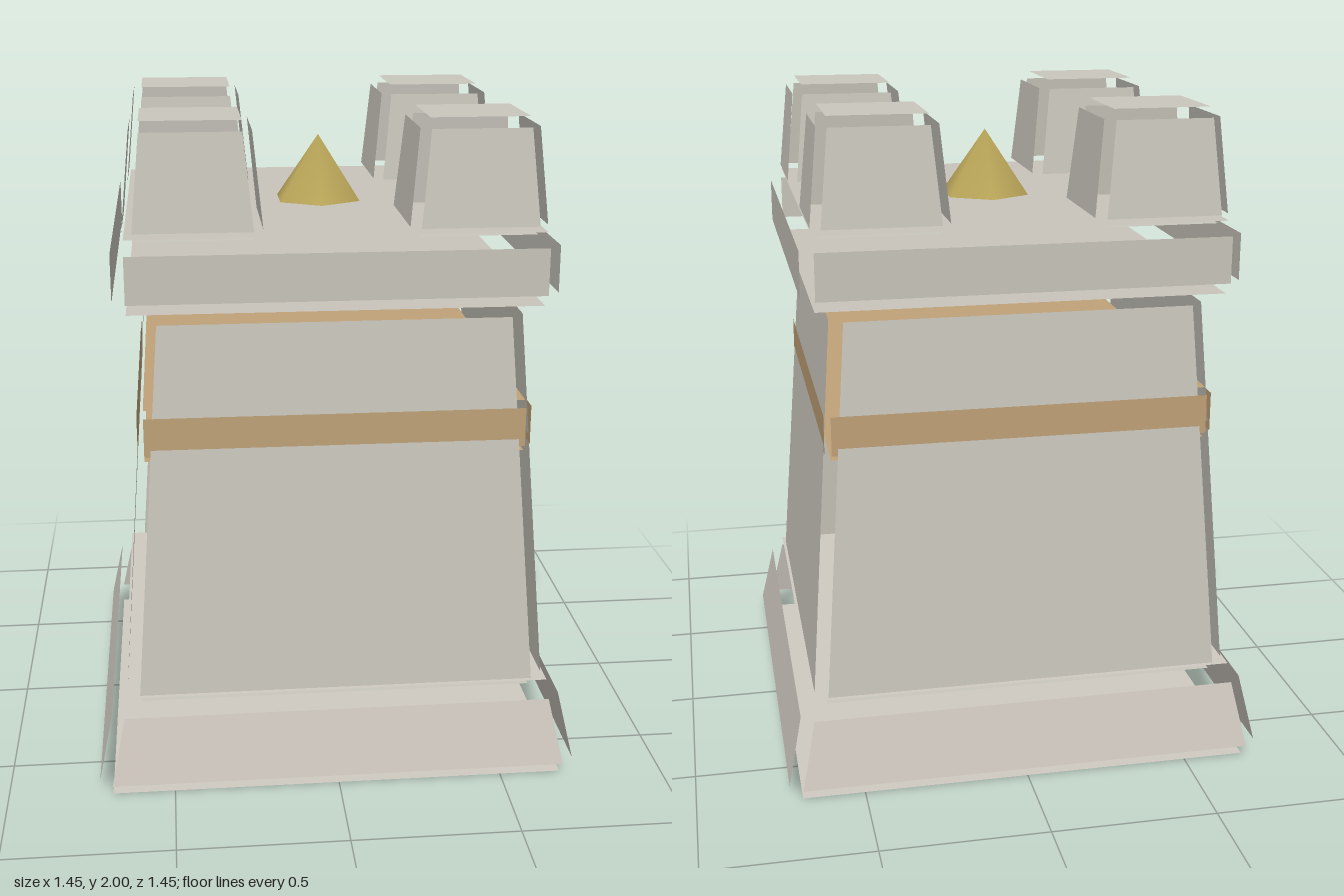
import * as THREE from 'three';
import { mergeVertices } from 'three/addons/utils/BufferGeometryUtils.js';

// Thin open panels, so every material shows both faces
const mat = (name, color) => {
  const m = new THREE.MeshStandardMaterial({ color, side: THREE.DoubleSide });
  m.name = name;
  return m;
};

// Tapered block made of six separate panels, with an open gap of width `gap` along every edge.
// y0/y1: bottom and top caps; w0/w1: distance of the side panels from the axis at their lower/upper edge.
function panelBlock(y0, y1, w0, w1, gap, gapY = gap) {
  const pos = [];
  const quad = (a, b, c, d) => [a, b, c, a, c, d].forEach((v) => pos.push(v.x, v.y, v.z));
  const v = (x, y, z) => new THREE.Vector3(x, y, z);
  const up = v(0, 1, 0);
  const p0 = w0 - gap, p1 = w1 - gap;
  const lo = y0 + gapY, hi = y1 - gapY;
  for (let k = 0; k < 4; k++) {
    const side = [v(-p0, lo, w0), v(p0, lo, w0), v(p1, hi, w1), v(-p1, hi, w1)];
    quad(...side.map((p) => p.applyAxisAngle(up, (k * Math.PI) / 2)));
  }
  quad(v(-p1, y1, p1), v(p1, y1, p1), v(p1, y1, -p1), v(-p1, y1, -p1));
  quad(v(-p0, y0, -p0), v(p0, y0, -p0), v(p0, y0, p0), v(-p0, y0, p0));
  const g = new THREE.BufferGeometry();
  g.setAttribute('position', new THREE.Float32BufferAttribute(pos, 3));
  g.computeVertexNormals();
  return g;
}

// Six-sided cone with shared vertices, so the shading runs smoothly over the tip
function smoothCone(radius, height) {
  const cone = new THREE.ConeGeometry(radius, height, 6, 1, true);
  cone.deleteAttribute('normal');
  cone.deleteAttribute('uv');
  const g = mergeVertices(cone);
  g.computeVertexNormals();
  return g;
}

export function createModel() {
  const group = new THREE.Group();
  group.name = 'tower';
  const stone = mat('stone', 0xcac7bd);
  const baseStone = mat('base stone', 0xd0cac2);
  const trimStone = mat('trim stone', 0xc9c5bc);
  const wood = mat('tan band', 0xc0a278);
  const gold = mat('dull gold', 0xb8a458);

  const add = (name, geometry, material) => {
    const m = new THREE.Mesh(geometry, material);
    m.name = name;
    group.add(m);
    return m;
  };

  // Stacked blocks from the ground up
  add('plinth', panelBlock(0, 0.295, 0.725, 0.682, 0.038, 0.046), baseStone);
  add('towerBody', panelBlock(0.26, 1.462, 0.635, 0.552, 0.038), stone);
  add('band', panelBlock(1.017, 1.173, 0.579, 0.579, 0.019), wood);
  add('cornice', panelBlock(1.467, 1.681, 0.635, 0.635, 0.038), trimStone);

  // Corner battlements
  const merlon = panelBlock(1.67, 2, 0.197, 0.17, 0.028);
  for (const x of [-1, 1]) {
    for (const z of [-1, 1]) {
      const side = x > 0 ? 'Left' : 'Right';
      add((z > 0 ? 'front' : 'back') + side + 'Battlement', merlon, stone)
        .position.set(x * 0.404, 0, z * 0.404);
    }
  }

  // Six-sided finial in the middle of the roof
  add('finial', smoothCone(0.154, 0.215), gold).position.y = 1.773;

  return group;
}
